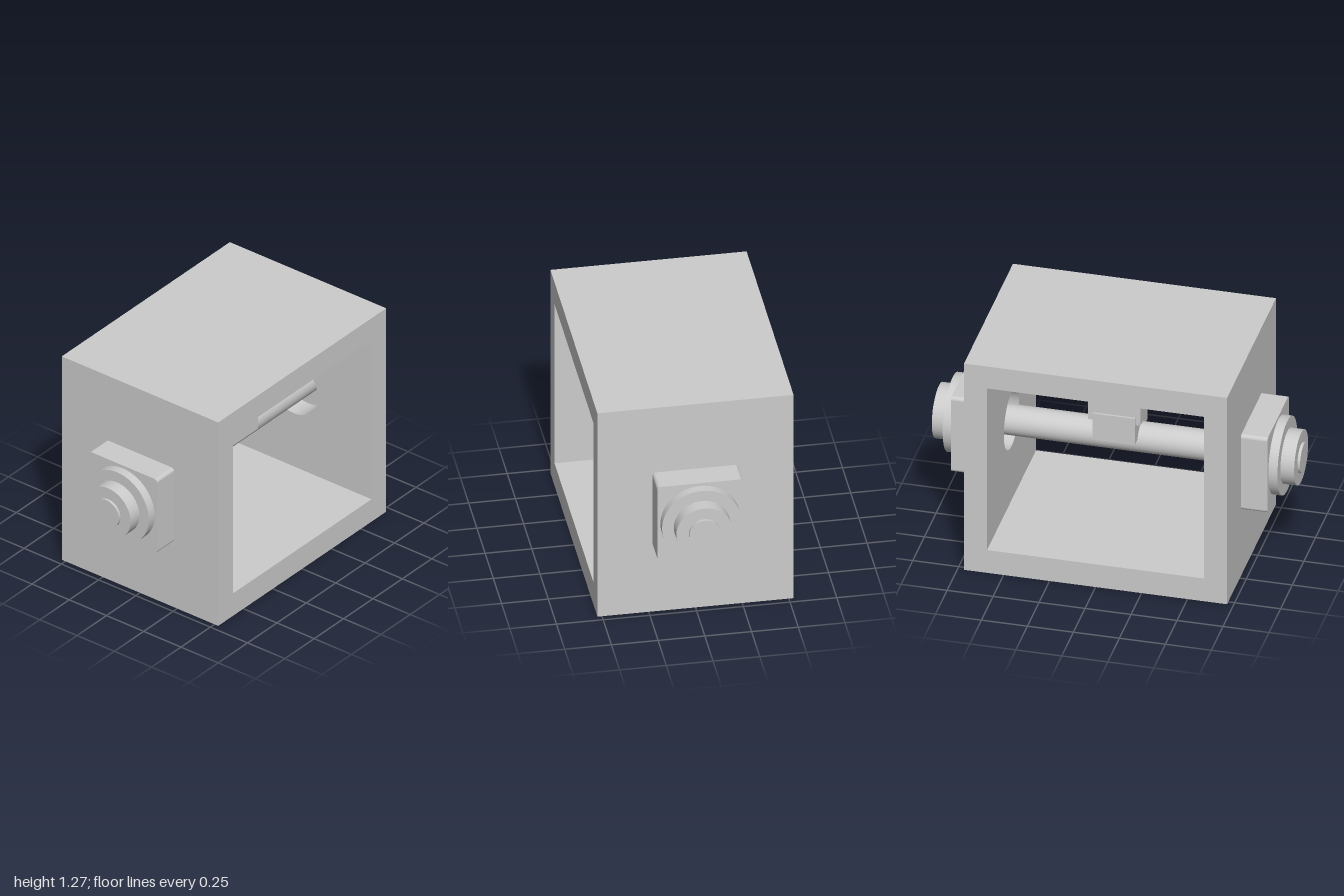
import * as THREE from 'three';

const material = new THREE.MeshStandardMaterial({ color: 0xcccccc });
const AXIS_Y = 0.637; // height of the shaft

function add(parent, name, geometry, x = 0, y = 0, z = 0) {
  const mesh = new THREE.Mesh(geometry, material);
  mesh.name = name;
  mesh.position.set(x, y, z);
  parent.add(mesh);
  return mesh;
}

// Box given by its lower and upper limits
function block(parent, name, [x0, x1], [y0, y1], [z0, z1]) {
  return add(parent, name, new THREE.BoxGeometry(x1 - x0, y1 - y0, z1 - z0),
    (x0 + x1) / 2, (y0 + y1) / 2, (z0 + z1) / 2);
}

// Cylinder lying along z
function disc(parent, name, radius, z0, z1) {
  const geometry = new THREE.CylinderGeometry(radius, radius, z1 - z0, 64).rotateX(Math.PI / 2);
  return add(parent, name, geometry, 0, AXIS_Y, (z0 + z1) / 2);
}

function roundedSquare(half, r) {
  const s = new THREE.Shape();
  const c = half - r;
  s.absarc(c, c, r, 0, Math.PI / 2);
  s.absarc(-c, c, r, Math.PI / 2, Math.PI);
  s.absarc(-c, -c, r, Math.PI, Math.PI * 1.5);
  s.absarc(c, -c, r, Math.PI * 1.5, Math.PI * 2);
  s.closePath();
  return s;
}

export function createModel() {
  const model = new THREE.Group();
  model.name = 'shaftFrame';
  const W = 0.525, H = 1.27, OUT = 0.715, IN = 0.59;

  // Open frame: top and bottom plates between two bored end walls
  const frame = new THREE.Group();
  frame.name = 'frame';
  model.add(frame);
  block(frame, 'bottomPlate', [-W, W], [0, 0.14], [-IN, IN]);
  block(frame, 'topPlate', [-W, W], [1.135, H], [-IN, IN]);

  const wall = new THREE.Shape();
  wall.moveTo(-W, 0).lineTo(W, 0).lineTo(W, H).lineTo(-W, H).closePath();
  const bore = new THREE.Path();
  bore.absarc(0, AXIS_Y, 0.165, 0, Math.PI * 2, true);
  wall.holes.push(bore);
  const wallGeometry = new THREE.ExtrudeGeometry(wall,
    { depth: OUT - IN, bevelEnabled: false, curveSegments: 48 });
  add(frame, 'frontWall', wallGeometry, 0, 0, IN);
  add(frame, 'backWall', wallGeometry, 0, 0, -OUT);

  // Shaft running through both walls
  disc(model, 'shaft', 0.083, -1, 1);

  // Matching bearing housings outside the two walls
  const housing = new THREE.ExtrudeGeometry(roundedSquare(0.23, 0.02),
    { depth: 0.145, bevelEnabled: false, curveSegments: 8 });
  for (const [name, turn] of [['frontBearing', 0], ['backBearing', Math.PI]]) {
    const bearing = new THREE.Group();
    bearing.name = name;
    bearing.rotation.y = turn;
    add(bearing, 'housing', housing, 0, AXIS_Y, OUT);
    disc(bearing, 'flange', 0.213, 0.86, 0.91);
    disc(bearing, 'collar', 0.15, 0.91, 0.985);
    model.add(bearing);
  }

  // Carriage on the shaft with a stepped post above it
  const carriage = new THREE.Group();
  carriage.name = 'carriage';
  model.add(carriage);
  block(carriage, 'saddle', [-0.137, 0.137], [0.665, 0.825], [-0.115, 0.115]);
  block(carriage, 'post', [-0.125, -0.05], [0.78, 0.997], [-0.143, 0.143]);
  block(carriage, 'neck', [-0.11, -0.08], [0.997, 1.027], [-0.072, 0.072]);
  block(carriage, 'cap', [-0.115, -0.08], [1.027, 1.077], [-0.127, 0.127]);

  return model;
}
